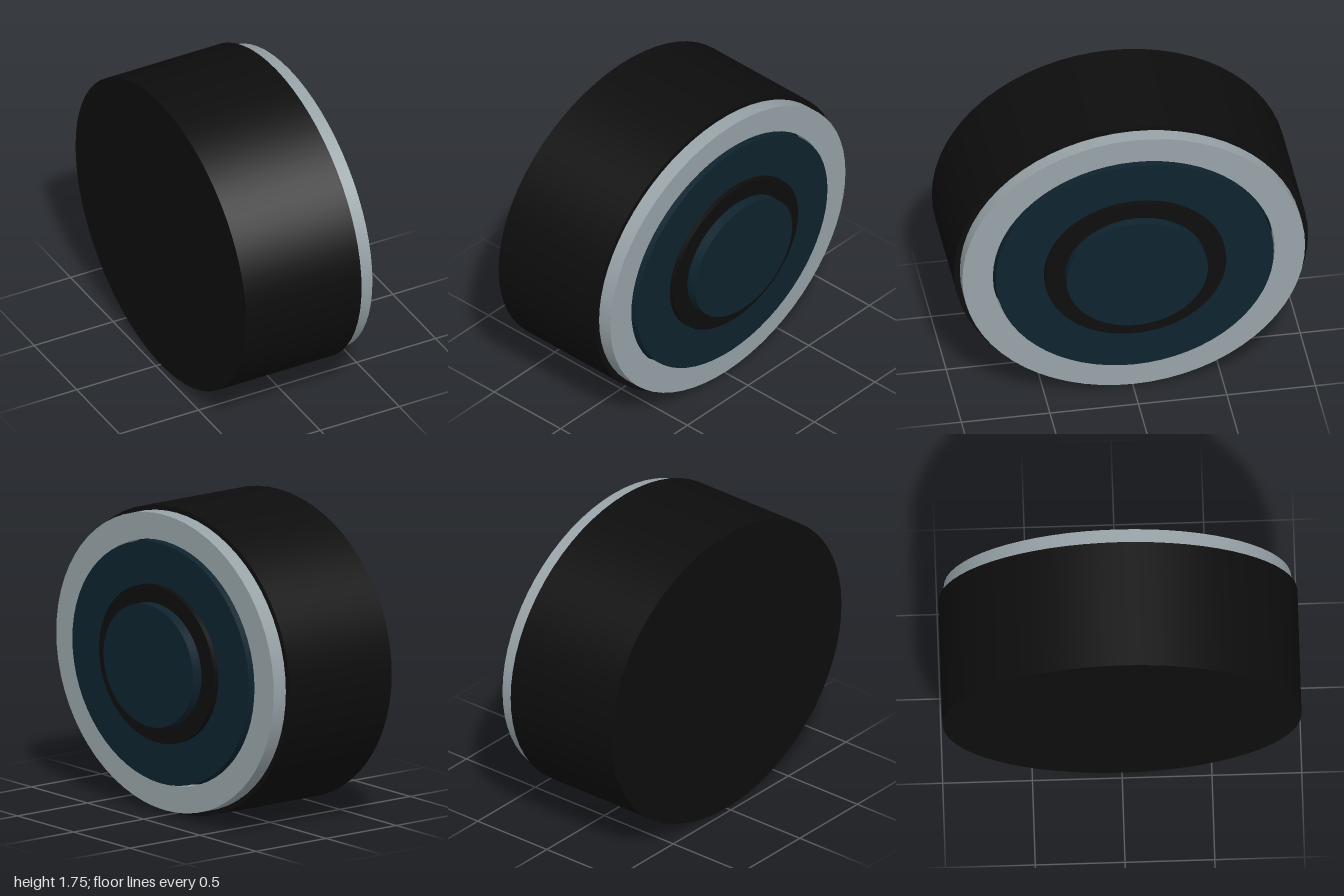
import * as THREE from 'three';

const CY = 0.8725; // centre height, also the vertical radius of the body

export function createModel() {
  const group = new THREE.Group();
  const black = new THREE.MeshStandardMaterial({ name: 'black rubber', color: 0x0d0d0d });
  const grey = new THREE.MeshStandardMaterial({ name: 'grey metal', color: 0x98a3a8 });
  const blue = new THREE.MeshStandardMaterial({ name: 'dark blue', color: 0x0e232e });

  // Place a geometry turned around y so its axis lies along x, squashed to an ellipse
  const add = (name, geometry, material) => {
    geometry.rotateZ(-Math.PI / 2);
    geometry.scale(1, CY, 1);
    geometry.translate(0, CY, 0);
    const mesh = new THREE.Mesh(geometry, material);
    mesh.name = name;
    group.add(mesh);
  };

  // Solid disc from x0 to x1
  const disc = (name, radius, x0, x1, material) => {
    const geometry = new THREE.CylinderGeometry(radius, radius, x1 - x0, 64);
    geometry.translate(0, (x0 + x1) / 2, 0);
    add(name, geometry, material);
  };

  disc('body', 1, -0.468, 0.262, black);

  // Grey rim: doubled corner points keep its edges sharp
  const corners = [[0.968, 0.26], [0.968, 0.348], [0.796, 0.348], [0.796, 0.26]];
  const profile = [];
  for (let i = 0; i < 3; i++) {
    const [a, b] = [corners[i], corners[i + 1]].map(([r, x]) => new THREE.Vector2(r, x));
    profile.push([a, b]);
  }
  ['rimOuter', 'rimFace', 'rimInner'].forEach((name, i) =>
    add(name, new THREE.LatheGeometry(profile[i], 64), grey));

  // Stepped discs on the face
  disc('facePlate', 0.786, 0.25, 0.379, blue);
  disc('hubRing', 0.513, 0.36, 0.408, black);
  disc('hubCap', 0.399, 0.39, 0.467, blue);

  return group;
}
